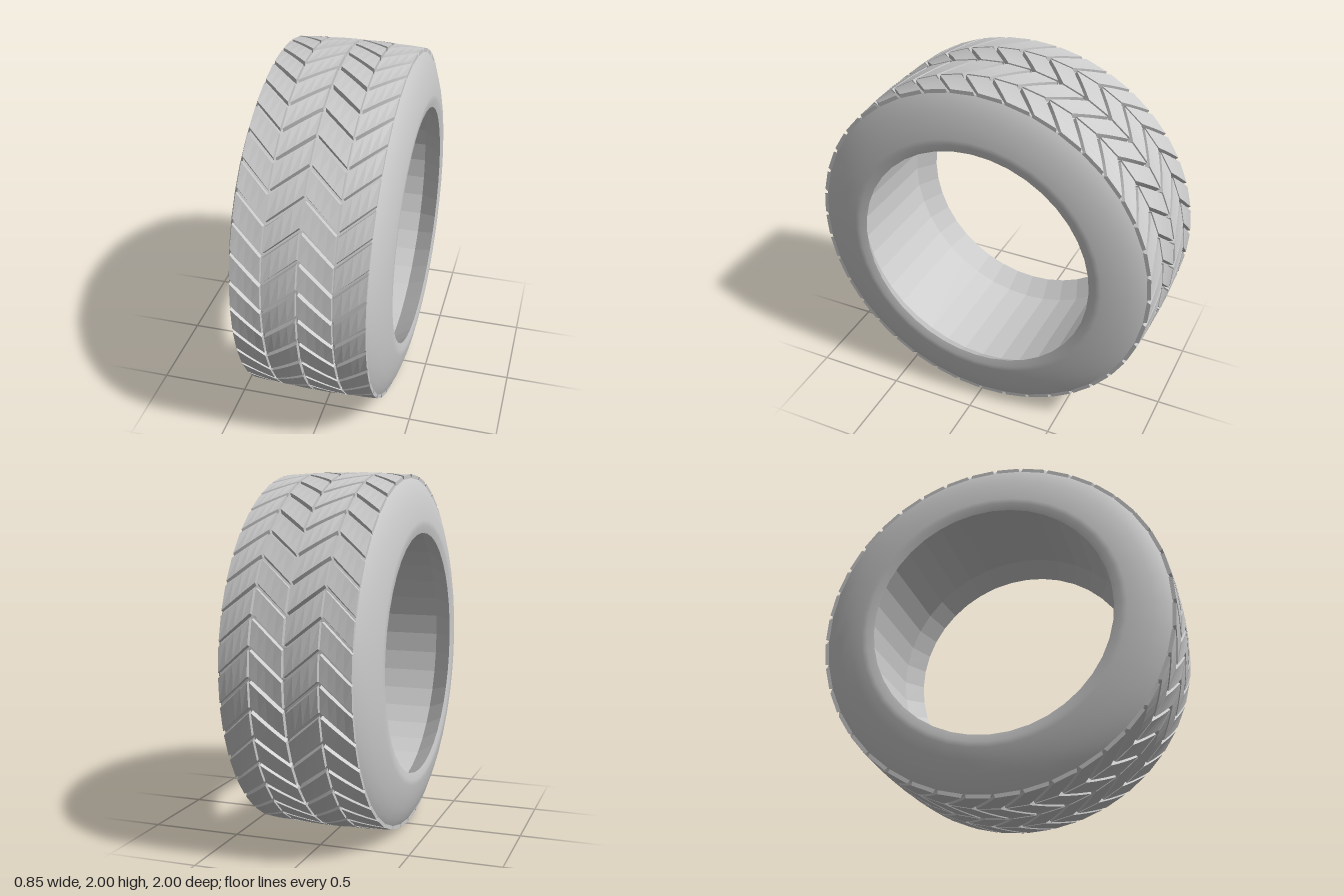
import * as THREE from 'three';

const SEG = 40;                 // sides of the ring and tread blocks around it
const PITCH = (Math.PI * 2) / SEG;

const smoothMat = new THREE.MeshStandardMaterial({ color: 0xcccccc, side: THREE.DoubleSide });
const flatMat = new THREE.MeshStandardMaterial({ color: 0xcccccc, side: THREE.DoubleSide, flatShading: true });

// Ring turned around the x axis from [x, radius] points
function ring(name, points, material) {
  const geo = new THREE.LatheGeometry(points.map(([x, r]) => new THREE.Vector2(r, x)), SEG);
  geo.rotateZ(-Math.PI / 2);
  const mesh = new THREE.Mesh(geo, material);
  mesh.name = name;
  return mesh;
}

// Slightly crowned tread surface
const crown = (x) => 1.0 - 0.1 * x * x;
const BASE = 0.972;

// One row of skewed blocks between x0 and x1; skew goes from a0 to a1 pitches
function treadRow(name, x0, x1, a0, a1) {
  const pos = [];
  const steps = 4;
  const at = (x, r, angle) => [x, r * Math.sin(angle), r * Math.cos(angle)];
  const quad = (a, b, c, d) => pos.push(...a, ...b, ...c, ...a, ...c, ...d);
  for (let i = 0; i < SEG; i++) {
    // Cross-sections: bottom start, top start, top end, bottom end
    const sections = [];
    for (let s = 0; s <= steps; s++) {
      const t = s / steps;
      const x = x0 + (x1 - x0) * t;
      const mid = (i + 0.5 + a0 + (a1 - a0) * t) * PITCH;
      const top = PITCH * 0.41, foot = PITCH * 0.46;
      sections.push([
        at(x, BASE - 0.005, mid - foot), at(x, crown(x), mid - top),
        at(x, crown(x), mid + top), at(x, BASE - 0.005, mid + foot),
      ]);
    }
    for (let s = 0; s < steps; s++) {
      const p = sections[s], q = sections[s + 1];
      for (let k = 0; k < 3; k++) quad(p[k], q[k], q[k + 1], p[k + 1]);
    }
    const first = sections[0], last = sections[steps];
    quad(first[0], first[1], first[2], first[3]);
    quad(last[3], last[2], last[1], last[0]);
  }
  // Face winding: tops must look away from the axle
  for (let v = 0; v < pos.length; v += 9) {
    for (let k = 0; k < 3; k++) {
      const swap = pos[v + 3 + k];
      pos[v + 3 + k] = pos[v + 6 + k];
      pos[v + 6 + k] = swap;
    }
  }
  const geo = new THREE.BufferGeometry();
  geo.setAttribute('position', new THREE.Float32BufferAttribute(pos, 3));
  geo.computeVertexNormals();
  // Reverse again if the first top face points inward
  const n = geo.attributes.normal, p = geo.attributes.position;
  const f = 6; // first vertex of the first top quad
  if (n.getY(f) * p.getY(f) + n.getZ(f) * p.getZ(f) < 0) {
    for (let v = 0; v < p.count; v += 3) {
      const b = [p.getX(v + 1), p.getY(v + 1), p.getZ(v + 1)];
      p.setXYZ(v + 1, p.getX(v + 2), p.getY(v + 2), p.getZ(v + 2));
      p.setXYZ(v + 2, ...b);
    }
    geo.computeVertexNormals();
  }
  const mesh = new THREE.Mesh(geo, flatMat);
  mesh.name = name;
  return mesh;
}

export function createModel() {
  const model = new THREE.Group();
  model.name = 'tire';
  const tire = new THREE.Group();
  tire.name = 'tireBody';
  tire.position.y = 1;
  model.add(tire);

  // Sidewall profile from bead to shoulder
  const wall = [[0.415, 0.67], [0.424, 0.71], [0.423, 0.74], [0.41, 0.81], [0.392, 0.875], [0.37, 0.935], [0.347, BASE]];
  tire.add(ring('rightSidewall', wall.map(([x, r]) => [-x, r]), smoothMat));
  tire.add(ring('leftSidewall', [...wall].reverse(), smoothMat));

  // Groove floor under the tread
  tire.add(ring('treadBase', [[-0.347, BASE], [0.347, BASE]], flatMat));

  // Inner barrel with a narrowing lip at each side
  tire.add(ring('leftBeadLip', [[0.415, 0.67], [0.31, 0.75]], flatMat));
  tire.add(ring('innerBarrel', [[0.31, 0.75], [-0.31, 0.75]], flatMat));
  tire.add(ring('rightBeadLip', [[-0.31, 0.75], [-0.415, 0.67]], flatMat));

  // Four rows of blocks in a zigzag
  const rows = [
    ['rightOuterTread', -0.35, -0.19, 0, 0.94],
    ['rightInnerTread', -0.178, -0.007, 0.94, 0],
    ['leftInnerTread', 0.007, 0.178, 0, 0.94],
    ['leftOuterTread', 0.19, 0.35, 0.94, 0],
  ];
  // Angle grows from the front upward, so the zigzag dips beside the middle rows
  for (const [name, x0, x1, a0, a1] of rows) tire.add(treadRow(name, x0, x1, -a0, -a1));

  return model;
}
